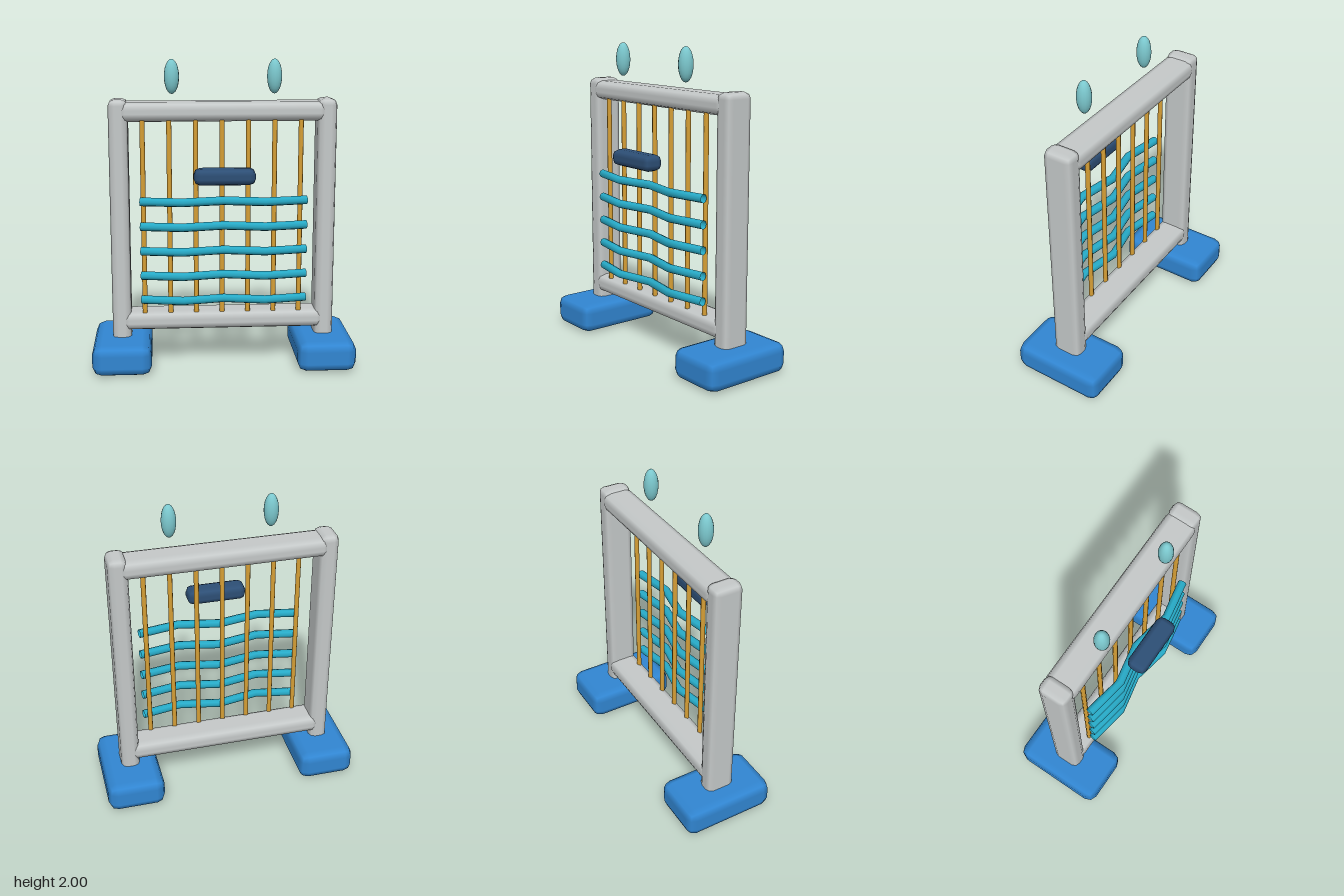
import * as THREE from 'three';
import { RoundedBoxGeometry } from 'three/addons/geometries/RoundedBoxGeometry.js';

export function createModel() {
  const model = new THREE.Group();
  model.name = 'weavingLoom';

  const paint = (name, color) => {
    const m = new THREE.MeshStandardMaterial({ color });
    m.name = name;
    return m;
  };
  const grey = paint('frameGrey', 0xc5c9c9);
  const blue = paint('footBlue', 0x3186d2);
  const gold = paint('threadGold', 0xd9a136);
  const teal = paint('yarnTeal', 0x27abc8);
  const navy = paint('shuttleNavy', 0x2d4f76);
  const aqua = paint('finialAqua', 0x7cc9cf);
  teal.side = THREE.DoubleSide;

  const add = (name, geometry, material, x, y, z) => {
    const mesh = new THREE.Mesh(geometry, material);
    mesh.name = name;
    mesh.position.set(x, y, z);
    model.add(mesh);
    return mesh;
  };
  // Chunky box with a two-facet bevel
  const block = (w, h, d, r) => new RoundedBoxGeometry(w, h, d, 1, r);

  // Feet, posts and floating finials, mirrored
  for (const [side, s] of [['left', 1], ['right', -1]]) {
    add(side + 'Foot', block(0.38, 0.2, 0.62, 0.06), blue, s * 0.66 - 0.002, 0.105, 0);
    add(side + 'Post', block(0.122, 1.65, 0.192, 0.04), grey, s * 0.662 - 0.002, 0.924, 0);
    const finial = add(side + 'Finial', new THREE.SphereGeometry(0.047, 16, 12), aqua,
      s * 0.321 - 0.004, 1.892, 0.082);
    finial.scale.y = 2.3;
  }

  // Cross bars
  add('topBar', block(1.33, 0.124, 0.203, 0.05), grey, -0.002, 1.67, 0);
  add('bottomBar', block(1.33, 0.124, 0.203, 0.05), grey, -0.002, 0.306, 0);

  // Upright warp threads
  for (let i = 0; i < 7; i++) {
    add('warpThread' + (i + 1), new THREE.CylinderGeometry(0.016, 0.016, 1.265, 8), gold,
      -0.513 + i * 0.1675, 0.995, 0.066);
  }

  // Wavy weft strands
  const path = new THREE.CurvePath();
  const bends = [[-0.532, 0.112], [-0.267, 0.16], [-0.002, 0.108], [0.263, 0.16], [0.528, 0.112]]
    .map(([x, z]) => new THREE.Vector3(x, 0, z));
  for (let i = 0; i < 4; i++) path.add(new THREE.LineCurve3(bends[i], bends[i + 1]));
  const strand = new THREE.TubeGeometry(path, 8, 0.028, 8, false);
  for (let i = 0; i < 5; i++) {
    add('weftStrand' + (i + 1), strand, teal, 0, 0.465 + i * 0.161, 0);
  }

  // Shuttle hovering in front of the threads
  add('shuttle', block(0.386, 0.104, 0.13, 0.04), navy, -0.003, 1.284, 0.216);

  return model;
}
